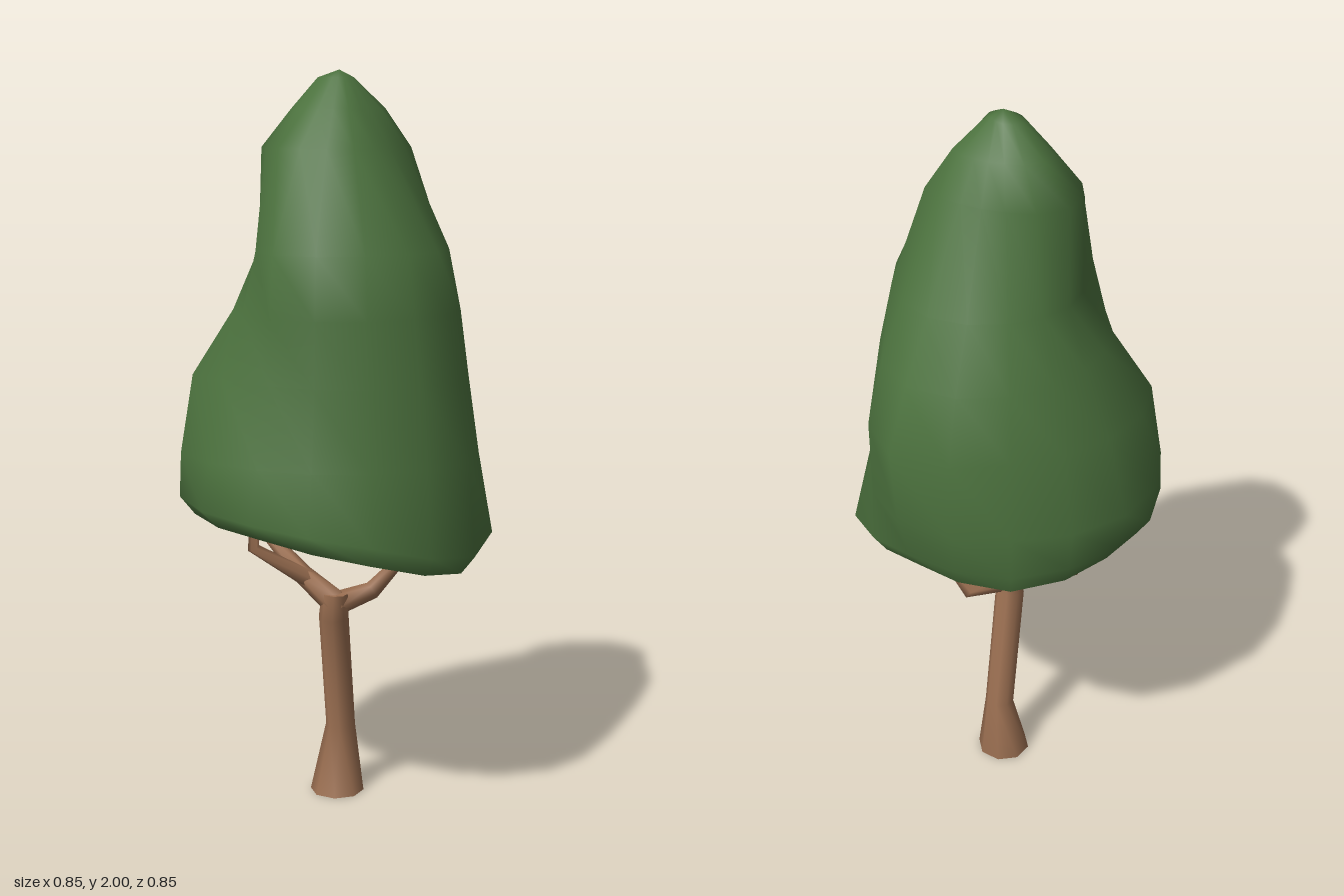
import * as THREE from 'three';

const V = (x, y, z) => new THREE.Vector3(x, y, z);

// Skin over closed rings; ends are fanned to a point, the first one optionally smooth
function skin(rings, start, end, smoothStart) {
  const n = rings[0].length, pos = [], idx = [];
  const add = (p) => pos.push(p.x, p.y, p.z) / 3 - 1;
  rings.forEach((ring) => ring.forEach(add));
  for (let i = 0; i < rings.length - 1; i++) {
    for (let j = 0; j < n; j++) {
      const k = (j + 1) % n;
      const a = i * n + j, b = i * n + k, c = a + n, d = b + n;
      idx.push(a, b, c, b, d, c);
    }
  }
  const fan = (ring, centre, shared, flip) => {
    const c = add(centre);
    const ids = shared ? ring.map((_, j) => j) : ring.map(add);
    for (let j = 0; j < n; j++) {
      const k = (j + 1) % n;
      if (flip) idx.push(c, ids[k], ids[j]);
      else idx.push(c, ids[j], ids[k]);
    }
  };
  fan(rings[0], start, smoothStart, true);
  fan(rings[rings.length - 1], end, false, false);
  const g = new THREE.BufferGeometry();
  g.setAttribute('position', new THREE.Float32BufferAttribute(pos, 3));
  g.setIndex(idx);
  g.computeVertexNormals();
  return g;
}

// Tapered limb along points given as [x, y, z, radius]
function limb(path, sides) {
  const pts = path.map((p) => V(p[0], p[1], p[2]));
  const rings = pts.map((p, i) => {
    const t = V(0, 1, 0);
    if (p.y > 0) {
      const before = pts[Math.max(i - 1, 0)], after = pts[Math.min(i + 1, pts.length - 1)];
      t.subVectors(after, before).normalize();
    }
    const u = V(1, 0, 0.3).addScaledVector(t, -V(1, 0, 0.3).dot(t)).normalize();
    const v = t.clone().cross(u);
    return Array.from({ length: sides }, (_, j) => {
      const a = (j / sides) * Math.PI * 2;
      return p.clone()
        .addScaledVector(u, Math.cos(a) * path[i][3])
        .addScaledVector(v, Math.sin(a) * path[i][3]);
    });
  });
  return skin(rings, pts[0], pts[pts.length - 1], false);
}

// Cyclic smooth interpolation of eight values around the crown
function around(values, s) {
  const n = values.length, i = Math.floor(s), f = s - i;
  const at = (k) => values[(k + n) % n];
  const [a, b, c, d] = [at(i - 1), at(i), at(i + 1), at(i + 2)];
  return b + 0.5 * f * (c - a + f * (2 * a - 5 * b + 4 * c - d + f * (3 * (b - c) + d - a)));
}

function crownGeometry() {
  const sides = 16;
  // Radii in eight directions, from +x turning toward +z
  const levels = [
    [1.98, [0.04, 0.04, 0.04, 0.05, 0.07, 0.05, 0.03, 0.03]],
    [1.9, [0.09, 0.1, 0.105, 0.12, 0.14, 0.105, 0.1, 0.12]],
    [1.8, [0.15, 0.17, 0.19, 0.2, 0.22, 0.16, 0.15, 0.19]],
    [1.54, [0.3, 0.31, 0.31, 0.22, 0.225, 0.24, 0.275, 0.28]],
    [1.38, [0.335, 0.335, 0.325, 0.29, 0.28, 0.32, 0.36, 0.315]],
    [1.21, [0.365, 0.355, 0.335, 0.4, 0.365, 0.365, 0.425, 0.335]],
    [1.0, [0.4, 0.38, 0.385, 0.435, 0.425, 0.395, 0.405, 0.355]],
  ];
  const rimY = [0.7, 0.765, 0.815, 0.83, 0.84, 0.83, 0.82, 0.775];
  const brimR = [0.42, 0.41, 0.425, 0.44, 0.4, 0.395, 0.365, 0.405];
  const rimR = [0.38, 0.39, 0.37, 0.4, 0.37, 0.38, 0.33, 0.37];
  const ring = (radii, yAt) => Array.from({ length: sides }, (_, j) => {
    const a = (j / sides) * Math.PI * 2, s = (j * 8) / sides, r = around(radii, s);
    return V(Math.cos(a) * r, yAt(s), Math.sin(a) * r);
  });
  const rings = levels.map(([y, radii]) => ring(radii, () => y));
  rings.push(ring(brimR, (s) => around(rimY, s) + 0.05));
  rings.push(ring(rimR, (s) => around(rimY, s)));
  return skin(rings, V(-0.005, 2, 0), V(0, 0.86, 0), true);
}

export function createModel() {
  const leaf = new THREE.MeshStandardMaterial({ color: 0x4c723e });
  leaf.name = 'leafGreen';
  const bark = new THREE.MeshStandardMaterial({ color: 0x9c7052 });
  bark.name = 'barkBrown';

  const tree = new THREE.Group();
  tree.name = 'tree';
  const add = (name, geometry, material) => {
    const mesh = new THREE.Mesh(geometry, material);
    mesh.name = name;
    tree.add(mesh);
  };

  add('crown', crownGeometry(), leaf);

  // Trunk with a flared foot and a lean
  add('trunk', limb([
    [-0.027, 0, -0.022, 0.075],
    [-0.03, 0.19, -0.044, 0.041],
    [0, 0.53, 0.035, 0.041],
    [0.003, 0.595, 0.035, 0.036],
  ], 8), bark);

  // Main branches and their forks
  const branches = {
    leftBranch: [[0, 0.57, 0.035, 0.036], [-0.09, 0.64, 0.055, 0.027],
      [-0.25, 0.735, 0.015, 0.017], [-0.272, 0.9, 0, 0.014]],
    leftFork: [[-0.075, 0.63, 0.055, 0.026], [-0.165, 0.73, 0.18, 0.017], [-0.158, 0.91, 0.17, 0.014]],
    backBranch: [[0.005, 0.565, 0.04, 0.034], [0.045, 0.58, -0.09, 0.025],
      [0.135, 0.685, -0.107, 0.017], [0.175, 0.87, -0.1, 0.013]],
    backFork: [[0.135, 0.675, -0.107, 0.016], [0.1, 0.8, -0.1, 0.013], [0.095, 0.88, -0.095, 0.012]],
  };
  for (const [name, path] of Object.entries(branches)) add(name, limb(path, 6), bark);

  return tree;
}
